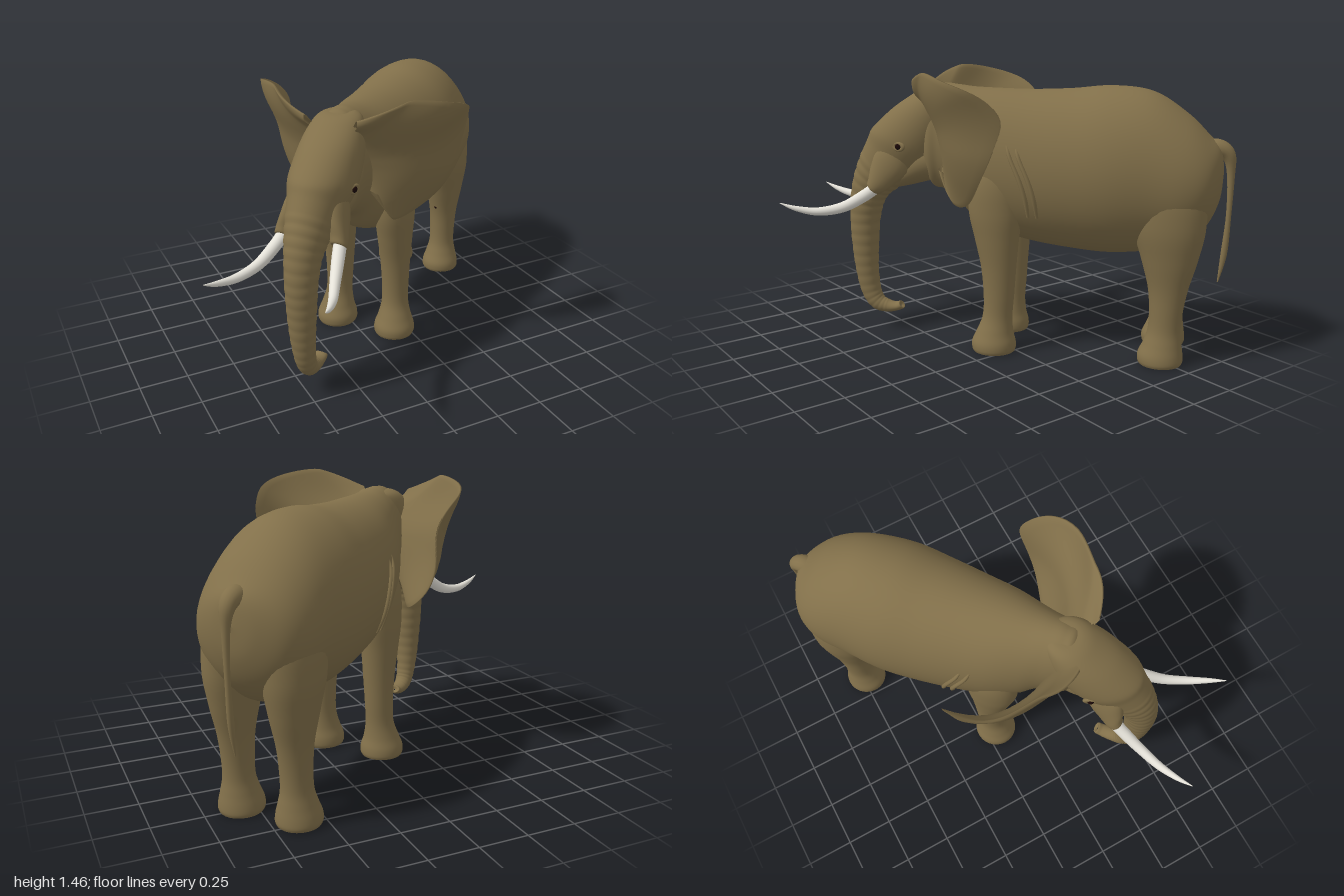
import * as THREE from 'three';

const material = (name, color, side = THREE.FrontSide) => {
  const m = new THREE.MeshStandardMaterial({ color, side });
  m.name = name;
  return m;
};

// Smooth surface through rows of points; wrap closes every row into a ring
function skinRows(rows, wrap) {
  const n = rows[0].length, index = [];
  for (let i = 0; i < rows.length - 1; i++) {
    for (let j = 0; j < (wrap ? n : n - 1); j++) {
      const k = (j + 1) % n;
      const a = i * n + j, b = i * n + k, c = a + n, d = b + n;
      index.push(a, b, c, b, d, c);
    }
  }
  const g = new THREE.BufferGeometry().setFromPoints(rows.flat());
  g.setIndex(index);
  g.computeVertexNormals();
  return g;
}

const catmull = (a, b, c, d, t) =>
  0.5 * (2 * b + (c - a) * t + (2 * a - 5 * b + 4 * c - d) * t * t + (3 * b - a - 3 * c + d) * t * t * t);

// Loft through sections [x, y, z, halfWidth, halfDepth, tiltDegrees].
// Tilt 0 travels down, 90 travels forward, -90 travels back.
function loft(sections, { steps = 6, sides = 32, ripple = () => 1 } = {}) {
  const last = sections.length - 1, rows = [];
  for (let s = 0; s <= last * steps; s++) {
    const i = Math.min(Math.floor(s / steps), last - 1), t = s / steps - i;
    const at = (k) => sections[Math.max(0, Math.min(last, k))];
    const [x, y, z, rx, rd, tilt] = sections[0].map((_, c) =>
      catmull(at(i - 1)[c], at(i)[c], at(i + 1)[c], at(i + 2)[c], t));
    const a = THREE.MathUtils.degToRad(tilt), f = ripple(s / steps);
    const w = Math.max(rx, 0.002) * f, d = Math.max(rd, 0.002) * f;
    rows.push(Array.from({ length: sides }, (_, j) => {
      const p = (j / sides) * Math.PI * 2, e = d * Math.sin(p);
      return new THREE.Vector3(x + w * Math.cos(p), y + e * Math.sin(a), z + e * Math.cos(a));
    }));
  }
  return skinRows(rows, true);
}

// Mirror across x, keeping faces outward
function mirrored(geometry) {
  const g = geometry.clone().scale(-1, 1, 1);
  const ix = g.index.array;
  for (let i = 0; i < ix.length; i += 3) [ix[i + 1], ix[i + 2]] = [ix[i + 2], ix[i + 1]];
  g.computeVertexNormals();
  return g;
}

// Left ear: a thin fan from the hinge line to a curved outline, bowed and wavy
function earGeometry() {
  const outline = new THREE.SplineCurve([
    [-0.18, 1.36], [-0.09, 1.405], [0, 1.44], [0.07, 1.455], [0.2, 1.44], [0.35, 1.4], [0.43, 1.345],
    [0.465, 1.25], [0.43, 1.13], [0.38, 1.02], [0.28, 0.89], [0.17, 0.8], [0.08, 0.775],
    [0.03, 0.82], [-0.03, 0.94],
  ].map(([x, y]) => new THREE.Vector2(x, y)));
  const hingeTop = new THREE.Vector2(-0.18, 1.28), hingeBottom = new THREE.Vector2(-0.08, 0.97);
  const rows = [], nu = 56, nv = 12;
  for (let i = 0; i <= nu; i++) {
    const u = i / nu, rim = outline.getPoint(u), hinge = hingeTop.clone().lerp(hingeBottom, u);
    const row = [];
    for (let j = 0; j <= 2 * nv + 1; j++) {
      const front = j <= nv, v = (front ? j : 2 * nv + 1 - j) / nv;
      const p = hinge.clone().lerp(rim, v), dx = p.x - 0.2;
      const thick = 0.004 + 0.014 * (1 - v ** 4);
      const z = 0.44 - (dx < 0 ? 0.7 : 1.6) * dx * dx - 0.3 * (1.4 - p.y)
        - 0.08 * (1 - v) ** 3 + 0.014 * Math.sin(u * 22) * v * v + (front ? thick : -thick);
      row.push(new THREE.Vector3(p.x, p.y, z));
    }
    rows.push(row);
  }
  return skinRows(rows, false).rotateY(THREE.MathUtils.degToRad(50));
}

export function createModel() {
  const skin = material('brown hide', 0x82704a);
  const thinSkin = material('ear hide', 0x82704a, THREE.DoubleSide);
  const ivory = material('ivory', 0xe4e1d8);
  const dark = material('dark sole and eye', 0x180605);

  const elephant = new THREE.Group();
  elephant.name = 'elephant';
  const add = (name, geometry, mat) => {
    const mesh = new THREE.Mesh(geometry, mat);
    mesh.name = name;
    elephant.add(mesh);
  };
  const pair = (name, geometry, mat) => {
    add(`${name}Left`, geometry, mat);
    add(`${name}Right`, mirrored(geometry), mat);
  };

  // Barrel of the body, sloping rump to neck and nape
  add('body', loft([
    [0, 0.96, -1.205, 0.01, 0.01, 90],
    [0, 0.95, -1.19, 0.11, 0.13, 90],
    [0, 0.92, -1.13, 0.22, 0.23, 90],
    [0, 0.92, -1.02, 0.28, 0.335, 90],
    [0, 0.955, -0.85, 0.305, 0.405, 90],
    [0, 0.958, -0.65, 0.325, 0.427, 90],
    [0, 0.955, -0.45, 0.312, 0.412, 90],
    [0, 0.963, -0.25, 0.287, 0.395, 90],
    [0, 0.985, -0.08, 0.258, 0.375, 90],
    [0, 1.02, 0.06, 0.212, 0.345, 90],
    [0, 1.075, 0.15, 0.175, 0.3, 90],
    [0, 1.1, 0.23, 0.155, 0.28, 90],
    [0, 1.1, 0.3, 0.14, 0.245, 90],
    [0, 1.1, 0.38, 0.01, 0.01, 90],
  ], { sides: 48 }), skin);

  // Head flowing into a ringed trunk with a curled tip
  add('headAndTrunk', loft([
    [0, 1.365, 0.23, 0.005, 0.005, 0],
    [0, 1.36, 0.24, 0.08, 0.08, 0],
    [0, 1.32, 0.265, 0.125, 0.135, 0],
    [0, 1.22, 0.325, 0.155, 0.18, 10],
    [0, 1.08, 0.43, 0.163, 0.2, 20],
    [0, 0.98, 0.52, 0.135, 0.17, 35],
    [0, 0.88, 0.61, 0.11, 0.13, 35],
    [0, 0.78, 0.665, 0.09, 0.1, 20],
    [0, 0.65, 0.69, 0.08, 0.085, 0],
    [0, 0.5, 0.695, 0.072, 0.075, 0],
    [0, 0.35, 0.69, 0.062, 0.064, -5],
    [0, 0.22, 0.67, 0.052, 0.055, -15],
    [0, 0.15, 0.63, 0.046, 0.046, -50],
    [0, 0.13, 0.57, 0.04, 0.034, -85],
    [0, 0.132, 0.52, 0.036, 0.025, -110],
    [0, 0.143, 0.49, 0.032, 0.022, -125],
    [0, 0.138, 0.497, 0.004, 0.004, -125],
  ], {
    steps: 14,
    ripple: (s) => (s > 5.5 && s < 13 ? 1 + 0.035 * (Math.abs(Math.sin((s - 5.5) * Math.PI * 2.5)) - 0.5) : 1),
  }), skin);

  // Lower jaw
  add('jaw', loft([
    [0, 1.0, 0.2, 0.1, 0.12, 80],
    [0, 0.965, 0.34, 0.12, 0.11, 70],
    [0, 0.89, 0.46, 0.08, 0.07, 60],
    [0, 0.845, 0.54, 0.04, 0.035, 70],
    [0, 0.835, 0.575, 0.004, 0.004, 70],
  ]), skin);

  // Tusk sockets swelling out of the cheeks, and tusks
  pair('tuskSocket', loft([
    [0.07, 1.08, 0.44, 0.05, 0.06, 30],
    [0.095, 0.98, 0.49, 0.06, 0.1, 35],
    [0.12, 0.9, 0.54, 0.055, 0.08, 40],
    [0.14, 0.85, 0.57, 0.047, 0.055, 45],
    [0.148, 0.828, 0.588, 0.036, 0.036, 45],
    [0.147, 0.84, 0.575, 0.004, 0.004, 45],
  ], { sides: 24 }), skin);
  pair('tusk', loft([
    [0.143, 0.85, 0.55, 0.032, 0.032, 45],
    [0.165, 0.79, 0.63, 0.032, 0.032, 52],
    [0.2, 0.73, 0.74, 0.028, 0.028, 70],
    [0.245, 0.71, 0.86, 0.023, 0.022, 92],
    [0.28, 0.728, 0.97, 0.014, 0.014, 108],
    [0.3, 0.757, 1.052, 0.002, 0.002, 112],
  ], { sides: 18 }), ivory);

  // Small eyes in heavy lids
  pair('eyelid', new THREE.TorusGeometry(0.021, 0.01, 10, 24).scale(1.3, 0.85, 1)
    .rotateY(1.25).translate(0.158, 1.058, 0.435), skin);
  pair('eye', new THREE.SphereGeometry(0.018, 16, 12).translate(0.158, 1.058, 0.435), dark);

  pair('ear', earGeometry(), thinSkin);

  // Legs with flared feet: sections, then the share of the foot that is dark sole
  const legs = {
    frontLeg: [0.55, [
      [0.12, 1.12, -0.08, 0.06, 0.06, 0],
      [0.155, 0.92, -0.085, 0.1, 0.135, 0],
      [0.165, 0.75, -0.085, 0.103, 0.14, 0],
      [0.166, 0.6, -0.092, 0.093, 0.115, 0],
      [0.166, 0.45, -0.102, 0.081, 0.092, 0],
      [0.168, 0.3, -0.104, 0.073, 0.08, 0],
      [0.17, 0.19, -0.098, 0.073, 0.078, 0],
      [0.174, 0.11, -0.086, 0.09, 0.095, 0],
      [0.175, 0.055, -0.08, 0.109, 0.114, 0],
      [0.175, 0.02, -0.08, 0.112, 0.116, 0],
      [0.175, 0.002, -0.08, 0.106, 0.11, 0],
    ]],
    hindLeg: [0.95, [
      [0.11, 1.12, -0.9, 0.06, 0.08, 0],
      [0.135, 0.92, -0.94, 0.13, 0.18, 0],
      [0.15, 0.72, -0.955, 0.133, 0.18, 0],
      [0.153, 0.55, -0.965, 0.108, 0.14, 0],
      [0.153, 0.4, -0.965, 0.083, 0.1, 0],
      [0.153, 0.28, -0.96, 0.075, 0.084, 0],
      [0.153, 0.18, -0.955, 0.075, 0.082, 0],
      [0.153, 0.11, -0.948, 0.09, 0.096, 0],
      [0.153, 0.055, -0.94, 0.106, 0.112, 0],
      [0.153, 0.02, -0.94, 0.11, 0.114, 0],
      [0.153, 0.002, -0.94, 0.104, 0.108, 0],
    ]],
  };
  const disc = (x, y, z, rx, rz) =>
    new THREE.CircleGeometry(1, 32).rotateX(Math.PI / 2).scale(rx, 1, rz).translate(x, y, z);
  for (const [name, [share, sections]] of Object.entries(legs)) {
    const [x, y, z, rx, rd] = sections[sections.length - 1];
    pair(name, loft(sections), skin);
    pair(`${name}Pad`, disc(x, y, z, rx, rd), skin);
    pair(`${name}Sole`, disc(x, 0, z + rd * (1 - share), rx * 0.85, rd * share), dark);
  }

  // Dark marks on the front of the hind legs
  pair('kneeMark', new THREE.SphereGeometry(0.013, 12, 8).scale(1, 0.8, 0.5).translate(0.14, 0.435, -0.864), dark);

  // Skin folds behind the shoulder, sinking in at both ends
  [0, 0.045].forEach((back, i) => {
    pair(`shoulderFold${i + 1}`, loft([
      [0.25, 1.1, -0.16 - back, 0.008, 0.008, 0],
      [0.266 + back * 0.14, 1.04, -0.18 - back, 0.018, 0.012, 0],
      [0.28 + back * 0.14, 0.93, -0.23 - back, 0.018, 0.013, 0],
      [0.272 + back * 0.14, 0.83, -0.26 - back, 0.016, 0.012, 0],
      [0.25, 0.74, -0.27 - back, 0.008, 0.008, 0],
    ], { sides: 12 }), skin);
  });

  // Tail
  add('tail', loft([
    [0, 1.07, -1.08, 0.05, 0.05, -90],
    [0, 1.085, -1.17, 0.048, 0.048, -80],
    [0, 1.05, -1.225, 0.036, 0.034, -30],
    [0, 0.95, -1.24, 0.019, 0.019, -5],
    [0, 0.75, -1.24, 0.013, 0.013, 0],
    [0, 0.55, -1.228, 0.014, 0.016, 5],
    [0, 0.4, -1.205, 0.003, 0.003, 10],
  ], { sides: 16 }), skin);

  // The animal stands turned toward its right
  elephant.rotation.y = THREE.MathUtils.degToRad(-50);
  const model = new THREE.Group();
  model.name = 'model';
  model.add(elephant);
  return model;
}
